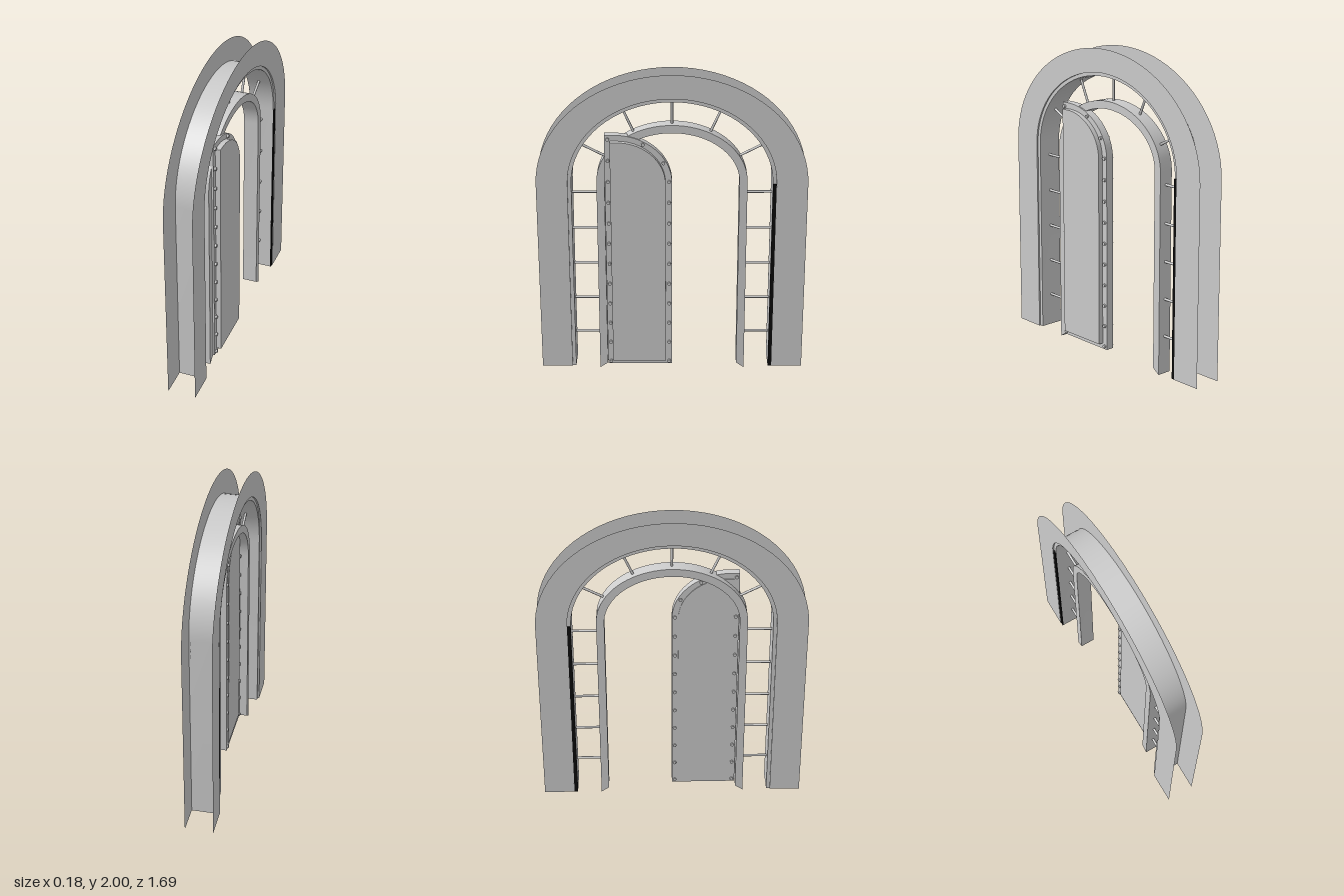
import * as THREE from 'three';
import { toCreasedNormals } from 'three/addons/utils/BufferGeometryUtils.js';

const SPRING = 1.3, BASE = 0.034;
const metal = new THREE.MeshStandardMaterial({ color: 0xcccccc, side: THREE.DoubleSide });
metal.name = 'light grey metal';
const black = new THREE.MeshStandardMaterial({ color: 0x0a0a0a });
black.name = 'black seal';

// Arch outline from the +z foot over the crown to the -z foot, as (z, y) points
function archPoints(half, top, base) {
  const points = [new THREE.Vector2(half, base)];
  for (let i = 0; i <= 40; i++) {
    const a = (i / 40) * Math.PI;
    points.push(new THREE.Vector2(half * Math.cos(a), SPRING + (top - SPRING) * Math.sin(a)));
  }
  points.push(new THREE.Vector2(-half, base));
  return points;
}

// Band between two arches: [half width, crown height, foot height]
function archBand(outer, inner) {
  return new THREE.Shape([...archPoints(...outer), ...archPoints(...inner).reverse()]);
}

// Door leaf with one rounded upper corner
function leafShape(z0, z1, y0, top, curveZ) {
  const s = new THREE.Shape();
  s.moveTo(z0, y0);
  s.lineTo(z1, y0);
  s.lineTo(z1, top);
  s.lineTo(curveZ, top);
  s.absellipse(curveZ, SPRING, curveZ - z0, top - SPRING, Math.PI / 2, Math.PI, false);
  s.closePath();
  return s;
}

// Turns a (z, y) shape into a solid between two x positions
function slab(shape, x0, x1) {
  const g = new THREE.ExtrudeGeometry(shape, { depth: x1 - x0, bevelEnabled: false, curveSegments: 24 });
  g.rotateY(-Math.PI / 2).translate(x1, 0, 0);
  return toCreasedNormals(g, 0.5);
}

export function createModel() {
  const model = new THREE.Group();
  model.name = 'archedDoorway';
  const add = (name, geometry, material = metal, parent = model) => {
    const mesh = new THREE.Mesh(geometry, material);
    mesh.name = name;
    parent.add(mesh);
    return mesh;
  };

  // Outer channel: two paper-thin flanges joined by a curved web
  const flange = archBand([0.843, 2.0, BASE], [0.655, 1.857, BASE]);
  for (const x of [-0.09, 0.09]) {
    const g = new THREE.ShapeGeometry(flange);
    g.rotateY(x > 0 ? -Math.PI / 2 : -Math.PI / 2).translate(x, 0, 0);
    // Face each sheet outward
    if (x > 0) {
      const index = g.index.array;
      for (let i = 0; i < index.length; i += 3) [index[i], index[i + 1]] = [index[i + 1], index[i]];
      g.computeVertexNormals();
    }
    add('flange', g);
  }
  add('web', slab(archBand([0.655, 1.857, BASE], [0.648, 1.85, BASE]), -0.09, 0.09));
  add('innerLining', slab(archBand([0.65, 1.852, BASE], [0.625, 1.828, BASE]), -0.08, 0.08));

  // Dark strips on both faces of the lining of one leg
  for (const x of [-0.083, 0.083]) {
    const strip = add('sealStrip', new THREE.BoxGeometry(0.008, SPRING - BASE, 0.03), black);
    strip.position.set(x, (SPRING + BASE) / 2, -0.64);
  }

  // Inner door frame with slanted feet
  add('doorFrame', slab(archBand([0.47, 1.67, 0], [0.42, 1.62, BASE]), -0.048, 0.048));

  // Rods holding the inner frame in the outer channel
  const rods = new THREE.Group();
  rods.name = 'supportRods';
  model.add(rods);
  const rod = (z0, y0, z1, y1) => {
    const a = new THREE.Vector3(0, y0, z0), b = new THREE.Vector3(0, y1, z1);
    const mesh = add('rod', new THREE.CylinderGeometry(0.008, 0.008, a.distanceTo(b), 12), metal, rods);
    mesh.position.copy(a).add(b).multiplyScalar(0.5);
    mesh.quaternion.setFromUnitVectors(new THREE.Vector3(0, 1, 0), b.sub(a).normalize());
  };
  rod(0, 1.66, 0, 1.835);
  for (const s of [-1, 1]) {
    for (let i = 0; i < 5; i++) rod(s * 0.46, 0.247 + i * 0.243, s * 0.635, 0.247 + i * 0.243);
    rod(s * 0.235, 1.61, s * 0.31, 1.775);
    rod(s * 0.41, 1.455, s * 0.575, 1.54);
  }

  // Door leaf: edge frame with raised panels on both faces
  const door = new THREE.Group();
  door.name = 'doorLeaf';
  model.add(door);
  add('leafFrame', slab(leafShape(0, 0.417, BASE, 1.61, 0.36), 0.005, 0.058), metal, door);
  add('frontPanel', slab(leafShape(0.04, 0.383, 0.07, 1.572, 0.34), 0.055, 0.09), metal, door);
  add('backPanel', slab(leafShape(0.04, 0.383, 0.07, 1.572, 0.34), 0, 0.006), metal, door);

  // Bolts around the edge of the leaf
  const spots = [[0.18, 1.55], [0.053, 1.43]];
  for (let i = 0; i < 12; i++) {
    const y = 0.055 + i * 0.139;
    spots.push([0.397, y]);
    if (i < 10) spots.push([0.018, y]);
  }
  for (const [z, y] of spots) {
    const bolt = add('bolt', new THREE.CylinderGeometry(0.011, 0.011, 0.074, 12), metal, door);
    bolt.rotation.z = Math.PI / 2;
    bolt.position.set(0.033, y, z);
  }
  return model;
}
